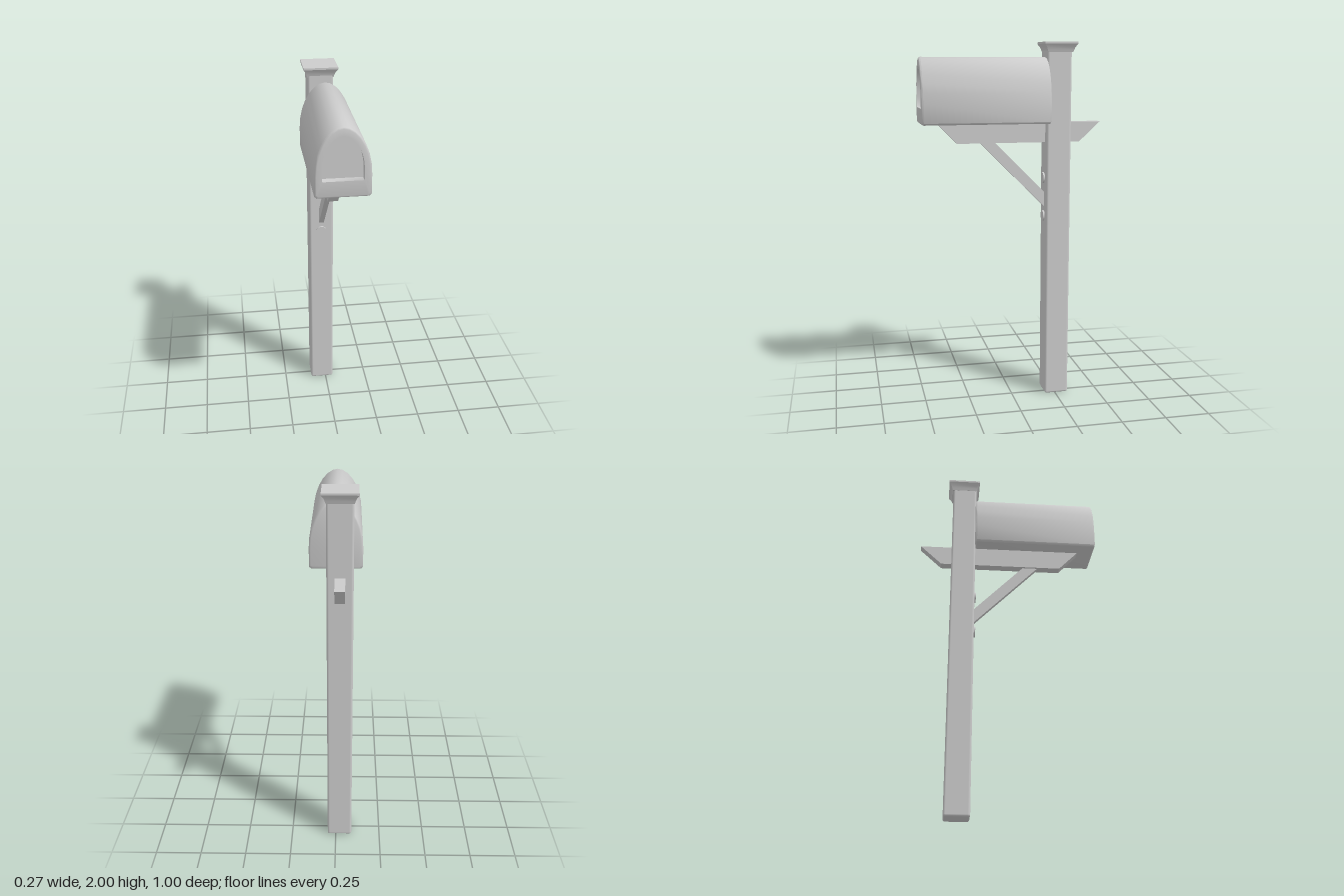
import * as THREE from 'three';
import { toCreasedNormals } from 'three/addons/utils/BufferGeometryUtils.js';
import { RoundedBoxGeometry } from 'three/addons/geometries/RoundedBoxGeometry.js';

const POST_X = -0.022, POST_Z = -0.257;

// Arched outline: flat bottom with small chamfers, straight sides, slightly pointed arch
function archOutline(w, bottom, spring, top, chamfer) {
  const pts = [[-w + chamfer, bottom], [w - chamfer, bottom], [w, bottom + chamfer]];
  const n = 14;
  for (let i = 0; i <= n; i++) {
    const t = (Math.PI * i) / n, c = Math.cos(t);
    pts.push([w * Math.sign(c) * Math.pow(Math.abs(c), 1.08), spring + (top - spring) * Math.sin(t)]);
  }
  pts.push([-w, bottom + chamfer]);
  return pts;
}

// Skin a series of equal-length outlines placed along z, closed at both ends
function loft(rings) {
  const n = rings[0].pts.length, pos = [], idx = [];
  for (const { pts, z } of rings) for (const [x, y] of pts) pos.push(x, y, z);
  for (let r = 0; r < rings.length - 1; r++) {
    for (let i = 0; i < n; i++) {
      const a = r * n + i, b = r * n + ((i + 1) % n);
      idx.push(a, b, b + n, a, b + n, a + n);
    }
  }
  const last = (rings.length - 1) * n;
  for (let i = 1; i < n - 1; i++) {
    idx.push(0, i + 1, i, last, last + i, last + i + 1);
  }
  const g = new THREE.BufferGeometry();
  g.setAttribute('position', new THREE.Float32BufferAttribute(pos, 3));
  g.setIndex(idx);
  return toCreasedNormals(g, 0.85);
}

// Flat board cut to a side profile of [z, y] points, centred on the post in x
function board(profile, width) {
  const shape = new THREE.Shape(profile.map(([z, y]) => new THREE.Vector2(-z, y)));
  const g = new THREE.ExtrudeGeometry(shape, { depth: width, bevelEnabled: false });
  g.translate(0, 0, -width / 2);
  g.rotateY(Math.PI / 2);
  g.translate(POST_X, 0, 0);
  return g;
}

export function createModel() {
  const model = new THREE.Group();
  model.name = 'mailbox';
  const mat = new THREE.MeshStandardMaterial({ color: 0xcccccc });
  const add = (name, geometry) => {
    const mesh = new THREE.Mesh(geometry, mat);
    mesh.name = name;
    model.add(mesh);
    return mesh;
  };

  // Post with softened edges
  add('post', new RoundedBoxGeometry(0.136, 1.975, 0.136, 3, 0.012)).position.set(POST_X, 0.9875, POST_Z);

  // Square flared cap: four-sided lathe
  const capProfile = [[0, 1.945], [0.069, 1.945], [0.073, 1.957], [0.078, 1.971], [0.091, 1.99], [0.091, 2], [0, 2]]
    .map(([half, y]) => new THREE.Vector2(half * Math.SQRT2, y));
  const cap = new THREE.LatheGeometry(capProfile, 4, Math.PI / 4);
  add('postCap', toCreasedNormals(cap, 0.5)).position.set(POST_X, 0, POST_Z - 0.004);

  // Box body with bevelled ends and a recessed door panel
  const outer = archOutline(0.137, 1.57, 1.68, 1.92, 0.01);
  const inner = archOutline(0.127, 1.58, 1.68, 1.91, 0.01);
  const mid = archOutline(0.134, 1.573, 1.68, 1.917, 0.01);
  const panel = archOutline(0.1, 1.655, 1.71, 1.875, 0.002);
  add('boxBody', loft([
    { pts: inner, z: -0.192 }, { pts: mid, z: -0.189 }, { pts: outer, z: -0.182 },
    { pts: outer, z: 0.492 }, { pts: mid, z: 0.499 }, { pts: inner, z: 0.502 },
    { pts: panel, z: 0.502 }, { pts: panel, z: 0.462 },
  ]));

  // Horizontal arm passing through the post, with mitred ends
  add('supportArm', board([[0.41, 1.572], [0.3, 1.46], [-0.383, 1.46], [-0.502, 1.57]], 0.052));

  // Diagonal brace from post to arm
  add('brace', board([[0.177, 1.465], [0.093, 1.465], [-0.195, 1.175], [-0.195, 1.092]], 0.028));

  // Bolt heads on the front of the post, above and below the brace foot
  for (const [name, y] of [['upperBolt', 1.26], ['lowerBolt', 1.045]]) {
    const bolt = add(name, new THREE.CylinderGeometry(0.03, 0.03, 0.02, 24));
    bolt.rotation.x = Math.PI / 2;
    bolt.position.set(POST_X, y, -0.19);
  }

  return model;
}
